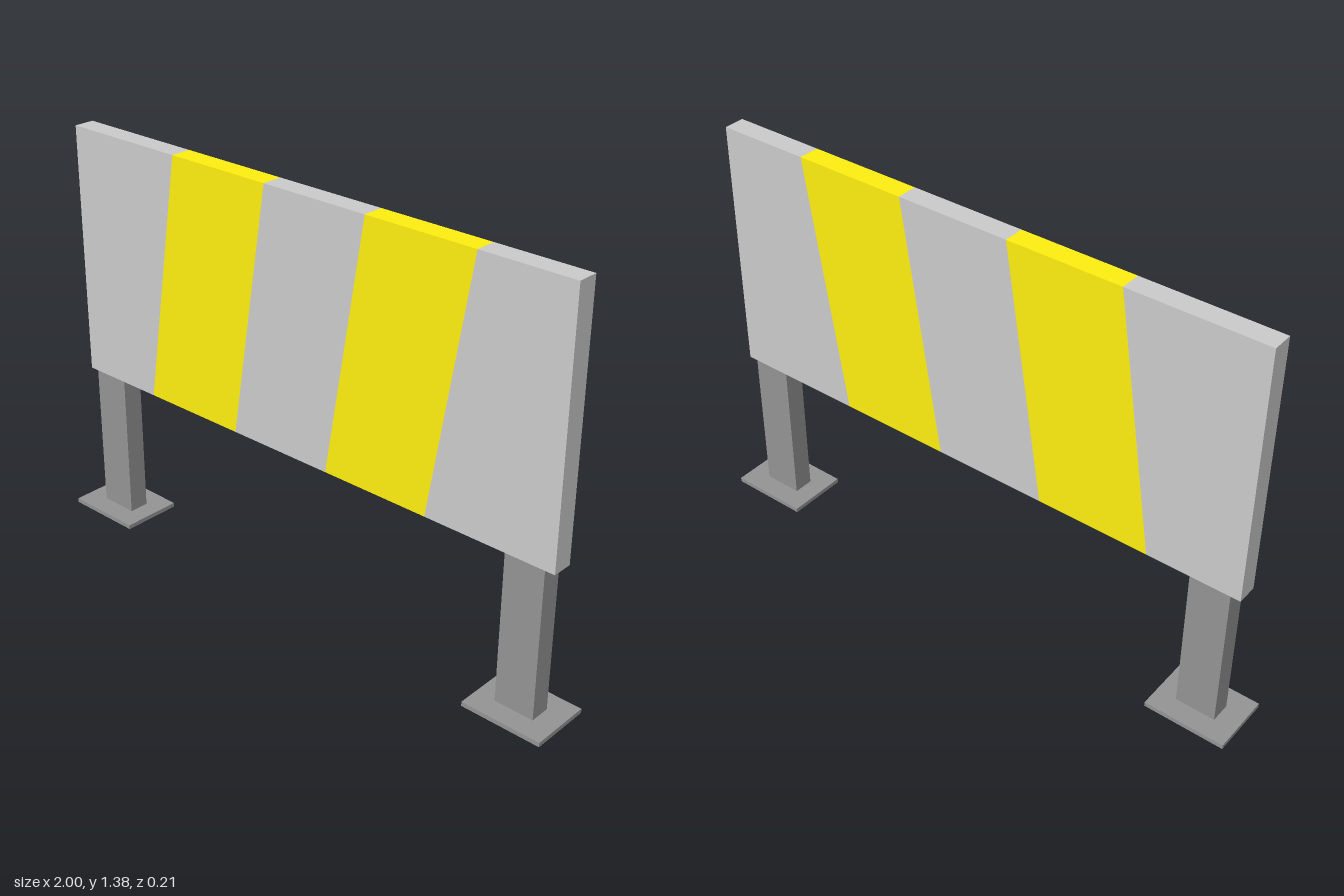
import * as THREE from 'three';

const BOTTOM = 0.522, TOP = 1.38, DEPTH = 0.07, HALF = 0.96, LEAN = 0.069;

export function createModel() {
  const barrier = new THREE.Group();
  barrier.name = 'barrier';

  const grey = new THREE.MeshStandardMaterial({ color: 0xcccccc, flatShading: true });
  const yellow = new THREE.MeshStandardMaterial({ color: 0xfff010, flatShading: true });
  const darkGrey = new THREE.MeshStandardMaterial({ color: 0x949494, flatShading: true });

  // Board: five slanted bands side by side, square at the outer ends
  const board = new THREE.Group();
  board.name = 'board';
  const count = 5, step = (2 * HALF) / count;
  for (let i = 0; i < count; i++) {
    const x0 = -HALF + i * step, x1 = x0 + step;
    const lean0 = i === 0 ? 0 : LEAN, lean1 = i === count - 1 ? 0 : LEAN;
    const outline = new THREE.Shape([
      new THREE.Vector2(x0 - lean0, BOTTOM),
      new THREE.Vector2(x1 - lean1, BOTTOM),
      new THREE.Vector2(x1 + lean1, TOP),
      new THREE.Vector2(x0 + lean0, TOP),
    ]);
    const geometry = new THREE.ExtrudeGeometry(outline, { depth: DEPTH, bevelEnabled: false });
    geometry.translate(0, 0, -DEPTH / 2);
    const band = new THREE.Mesh(geometry, i % 2 ? yellow : grey);
    band.name = i % 2 ? 'yellowStripe' : 'greyPanel';
    board.add(band);
  }
  barrier.add(board);

  // Posts with flat foot plates, one at each end
  const plate = 0.015;
  for (const [side, name] of [[1, 'left'], [-1, 'right']]) {
    const post = new THREE.Mesh(new THREE.BoxGeometry(0.135, BOTTOM - plate, DEPTH), darkGrey);
    post.name = name + 'Post';
    post.position.set(side * 0.86, (BOTTOM + plate) / 2, 0);

    const foot = new THREE.Mesh(new THREE.BoxGeometry(0.275, plate, 0.21), darkGrey);
    foot.name = name + 'FootPlate';
    foot.position.set(side * 0.8625, plate / 2, 0);

    barrier.add(post, foot);
  }
  return barrier;
}
